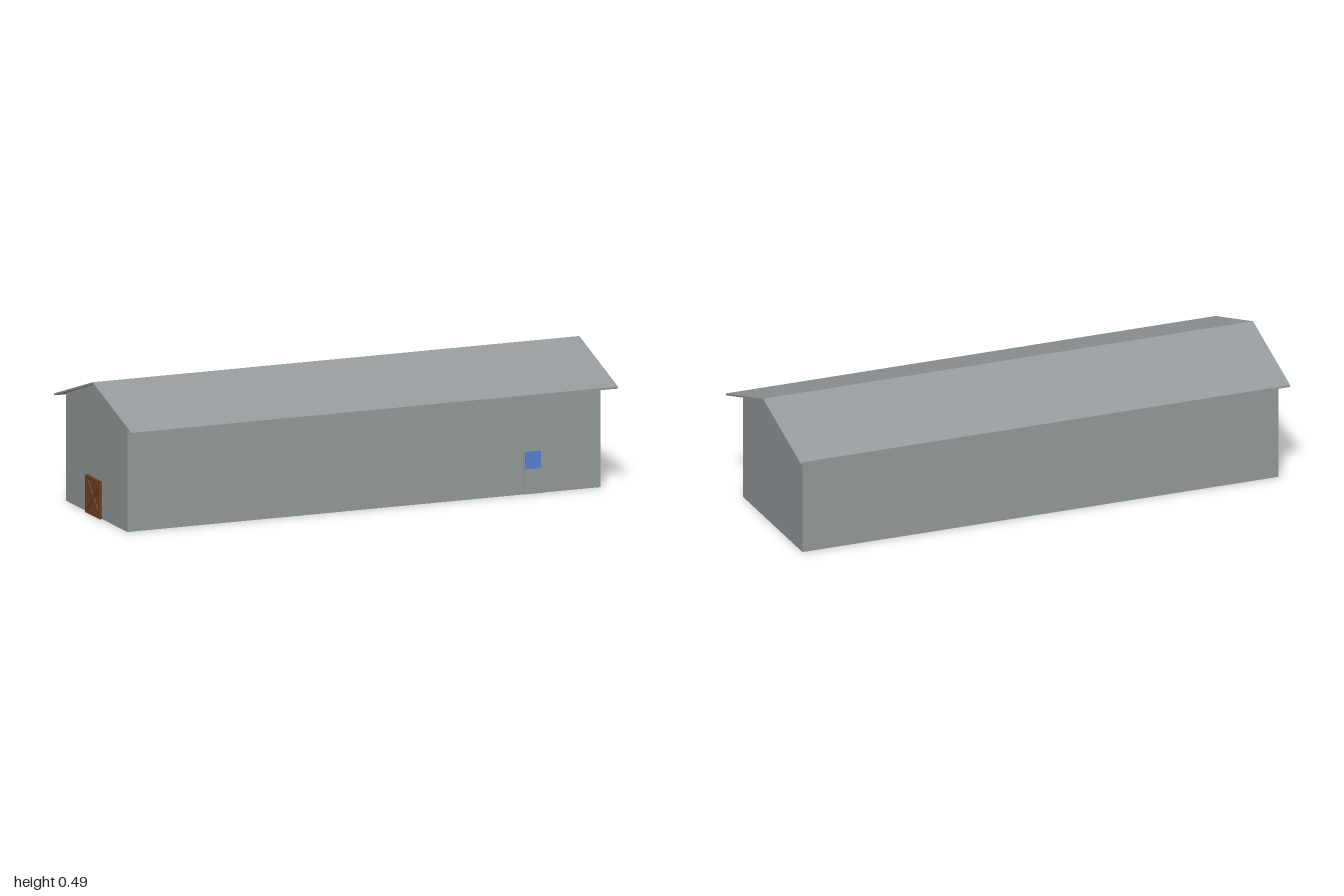
import * as THREE from 'three';

const grey = new THREE.MeshStandardMaterial({ color: 0x959b9d });
grey.name = 'grey';
const brown = new THREE.MeshStandardMaterial({ color: 0x70401f });
brown.name = 'brown';
const blue = new THREE.MeshStandardMaterial({ color: 0x5583d6 });
blue.name = 'blue';

// Extrude a gable outline [z, y] along x between two ends
function extrudeAlongX(name, points, x0, x1, material) {
  const shape = new THREE.Shape(points.map(([z, y]) => new THREE.Vector2(-z, y)));
  const geometry = new THREE.ExtrudeGeometry(shape, { depth: x1 - x0, bevelEnabled: false });
  geometry.rotateY(Math.PI / 2);
  geometry.translate(x0, 0, 0);
  const mesh = new THREE.Mesh(geometry, material);
  mesh.name = name;
  return mesh;
}

function box(name, w, h, d, x, y, z, material) {
  const mesh = new THREE.Mesh(new THREE.BoxGeometry(w, h, d), material);
  mesh.name = name;
  mesh.position.set(x, y, z);
  return mesh;
}

export function createModel() {
  const model = new THREE.Group();
  model.name = 'barn';
  const barn = new THREE.Group();
  barn.name = 'building';
  barn.rotation.y = Math.atan(0.4); // the building stands at an angle
  model.add(barn);

  const wallEnd = -0.921, wallStart = 0.899, side = 0.275;

  // Walls with gable ends
  barn.add(extrudeAlongX('walls',
    [[-side, 0], [side, 0], [side, 0.39], [0, 0.48], [-side, 0.39]],
    wallEnd, wallStart, grey));

  // Thin pitched roof with overhanging eaves
  barn.add(extrudeAlongX('roof',
    [[-0.345, 0.368], [0, 0.48], [0.345, 0.368], [0.345, 0.375], [0, 0.487], [-0.345, 0.375]],
    -0.9365, 0.9365, grey));

  // Plank door with frame and cross brace on the end wall
  const door = new THREE.Group();
  door.name = 'endDoor';
  door.position.set(wallEnd, 0, -0.015);
  barn.add(door);
  const w = 0.13, h = 0.136, rail = 0.014;
  door.add(box('doorPanel', 0.006, h, w, -0.003, h / 2, 0, brown));
  for (const s of [-1, 1]) {
    door.add(box('doorStile', 0.004, h, rail, -0.008, h / 2, s * (w - rail) / 2, brown));
    door.add(box('doorRail', 0.004, rail, w - 2 * rail, -0.008, h / 2 + s * (h - rail) / 2, 0, brown));
    const brace = box('doorBrace', 0.003, 0.012, 0.138, -0.0075, h / 2, 0, brown);
    brace.rotation.x = s * Math.atan2(h - 2 * rail, w - 2 * rail);
    door.add(brace);
  }

  // Flush side door with a small window
  barn.add(box('sideDoor', 0.088, 0.158, 0.004, 0.645, 0.079, side + 0.001, grey));
  barn.add(box('sideDoorWindow', 0.06, 0.064, 0.004, 0.638, 0.122, side + 0.002, blue));

  return model;
}
